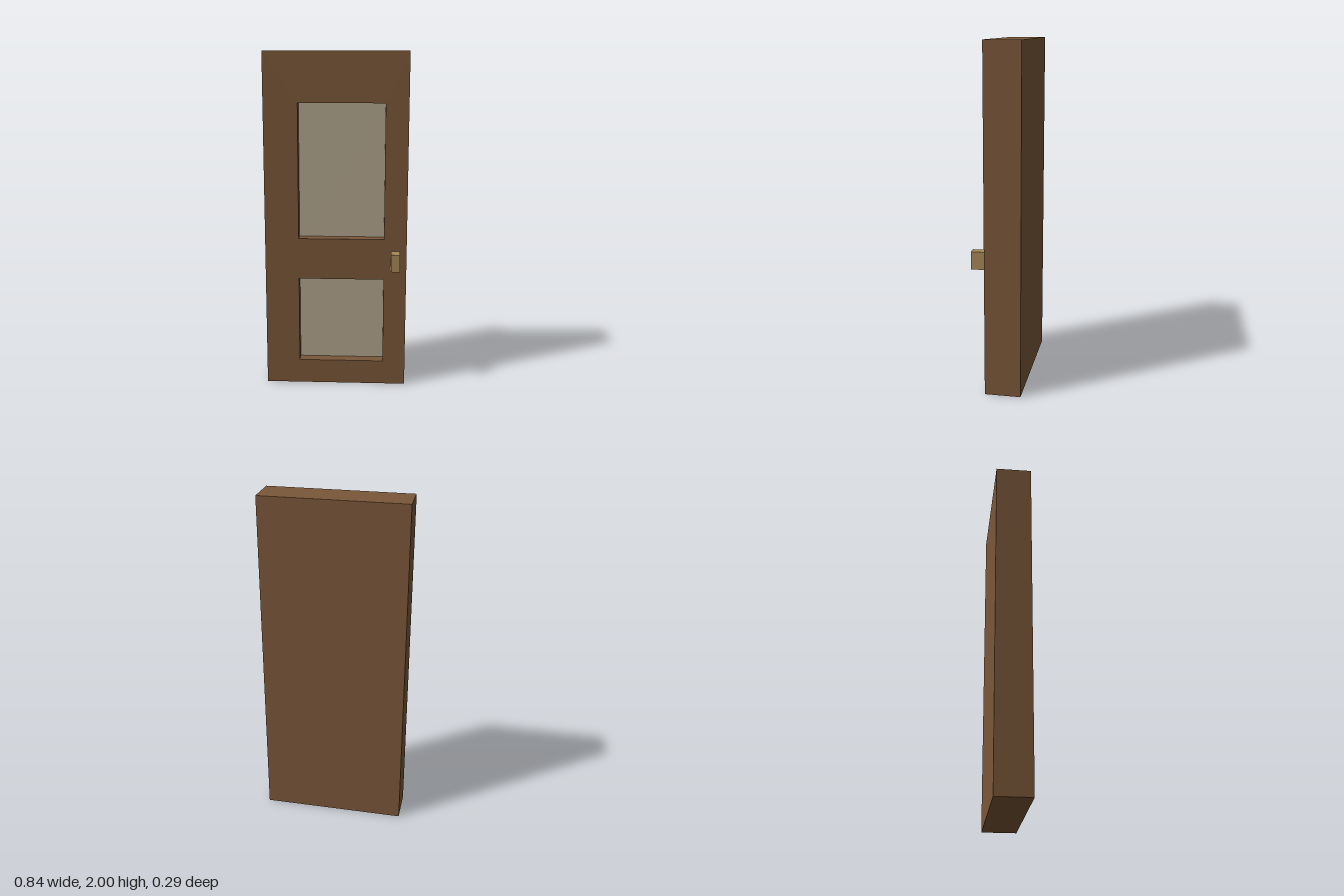
import * as THREE from 'three';

const WIDTH = 0.84, HEIGHT = 2;
const FRONT = 0.0625, RECESS = -0.0075, BACK = -0.1455;
const PANELS = [
  { name: 'lowerPanel', x0: -0.22, x1: 0.286, y0: 0.146, y1: 0.664 },
  { name: 'upperPanel', x0: -0.22, x1: 0.286, y0: 0.91, y1: 1.708 },
];

function material(name, color) {
  const m = new THREE.MeshStandardMaterial({ color });
  m.name = name;
  return m;
}

// Rectangle outline, usable as a shape or a hole
function rect(PathType, x0, x1, y0, y1) {
  return new PathType([[x0, y0], [x1, y0], [x1, y1], [x0, y1]].map(([x, y]) => new THREE.Vector2(x, y)));
}

// Box given by its limits on each axis
function box(name, mat, x0, x1, y0, y1, z0, z1) {
  const mesh = new THREE.Mesh(new THREE.BoxGeometry(x1 - x0, y1 - y0, z1 - z0), mat);
  mesh.position.set((x0 + x1) / 2, (y0 + y1) / 2, (z0 + z1) / 2);
  mesh.name = name;
  return mesh;
}

export function createModel() {
  const wood = material('brown wood', 0x7b5839);
  const pane = material('pale panel', 0xb3a78f);
  const brass = material('brass', 0xa98856);

  const door = new THREE.Group();
  door.name = 'door';

  // Front frame with two openings
  const outline = rect(THREE.Shape, -WIDTH / 2, WIDTH / 2, 0, HEIGHT);
  for (const p of PANELS) outline.holes.push(rect(THREE.Path, p.x0, p.x1, p.y0, p.y1));
  const frame = new THREE.Mesh(
    new THREE.ExtrudeGeometry(outline, { depth: FRONT - RECESS, bevelEnabled: false }), wood);
  frame.position.z = RECESS;
  frame.name = 'frontFrame';
  door.add(frame);

  // Solid slab behind the frame
  door.add(box('backSlab', wood, -WIDTH / 2, WIDTH / 2, 0, HEIGHT, BACK, RECESS));

  // Thin plates at the bottom of each recess
  for (const p of PANELS) {
    door.add(box(p.name, pane, p.x0, p.x1, p.y0, p.y1, RECESS, RECESS + 0.003));
  }

  // Block handle
  door.add(box('handle', brass, 0.327, 0.379, 0.735, 0.838, FRONT, 0.1455));

  return door;
}
